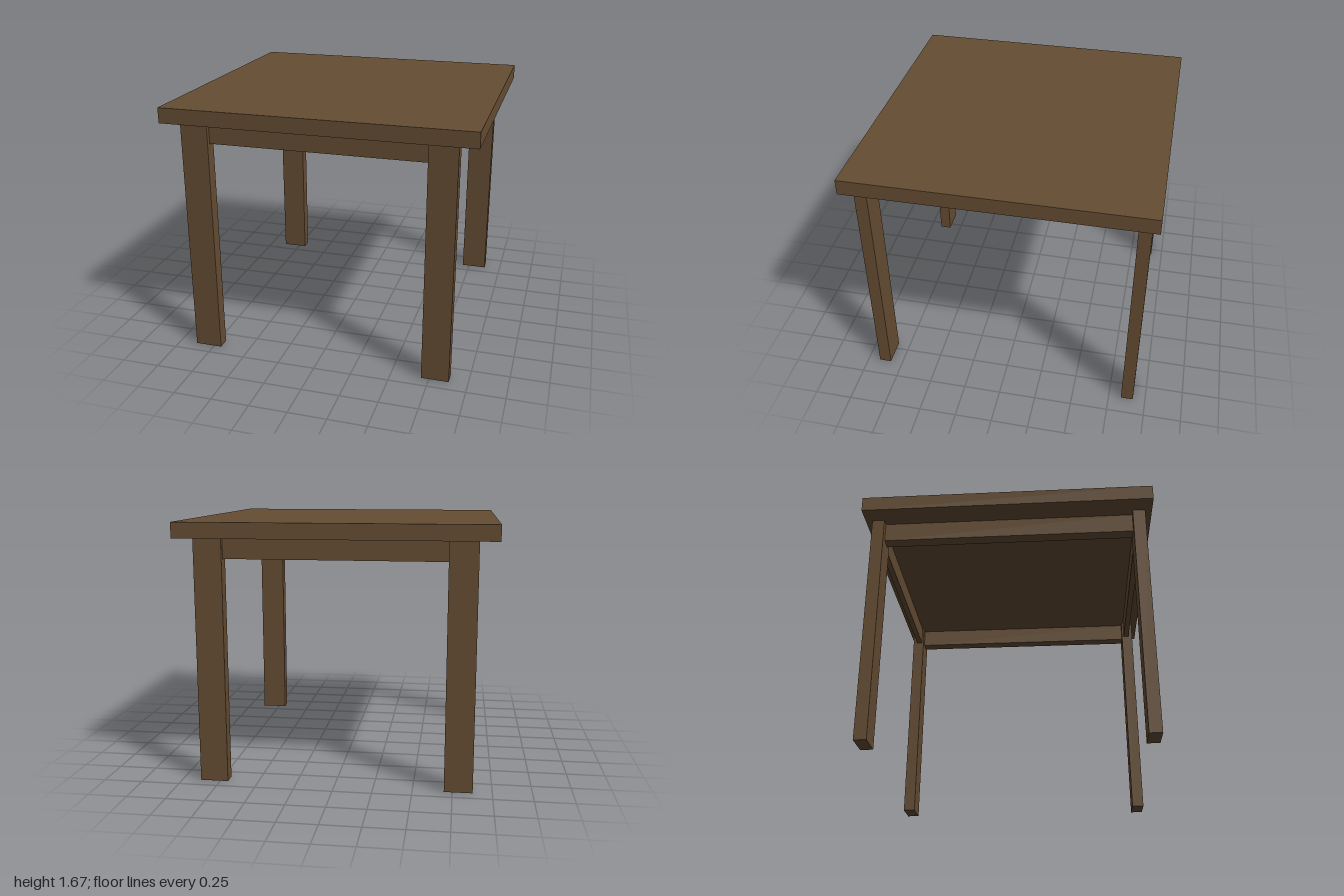
import * as THREE from 'three';

export function createModel() {
  const table = new THREE.Group();
  table.name = 'table';
  const wood = new THREE.MeshStandardMaterial({ color: 0x664d33 });
  wood.name = 'brown wood';

  // Box given by its size, centre and underside height
  const addBox = (name, w, h, d, x, y, z) => {
    const mesh = new THREE.Mesh(new THREE.BoxGeometry(w, h, d), wood);
    mesh.name = name;
    mesh.position.set(x, y + h / 2, z);
    table.add(mesh);
  };

  const legHeight = 1.575, legWidth = 0.18, legDepth = 0.082;
  const legX = 0.788, legZ = 0.876;
  const apronHeight = 0.13, apronY = legHeight - apronHeight;

  addBox('tableTop', 2, 0.1, 1.926, 0, legHeight, 0);

  // Four legs
  for (const [sx, side] of [[1, 'Left'], [-1, 'Right']]) {
    for (const [sz, end] of [[1, 'front'], [-1, 'back']]) {
      addBox(`${end}${side}Leg`, legWidth, legHeight, legDepth, sx * legX, 0, sz * legZ);
    }
  }

  // Aprons between the legs, set back from their outer faces
  const spanX = 2 * legX - legWidth, spanZ = 2 * legZ - legDepth;
  for (const [s, end, side] of [[1, 'front', 'left'], [-1, 'back', 'right']]) {
    addBox(`${end}Apron`, spanX, apronHeight, 0.04, 0, apronY, s * 0.868);
    addBox(`${side}Apron`, 0.08, apronHeight, spanZ, s * legX, apronY, 0);
  }
  return table;
}
